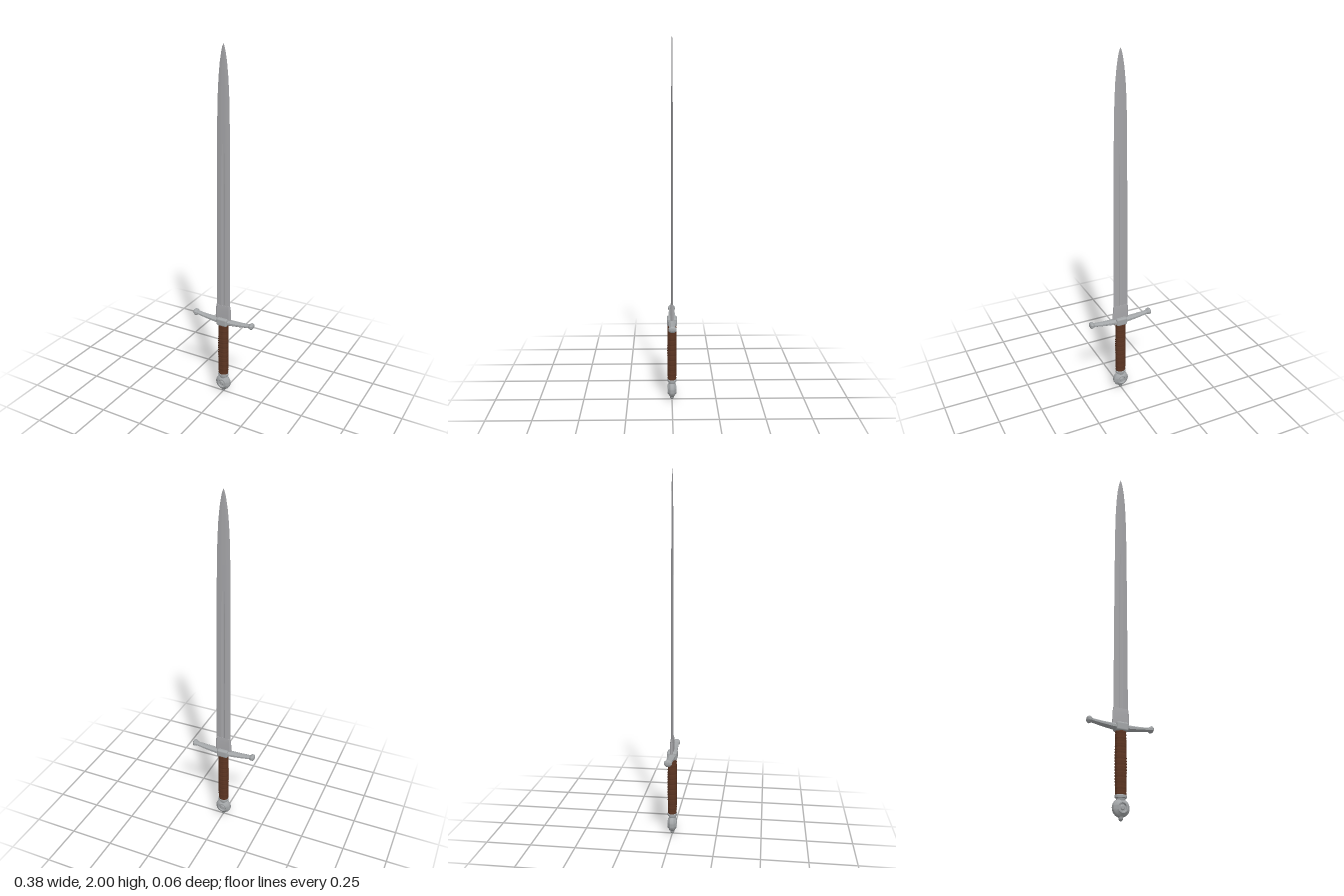
import * as THREE from 'three';
import { toCreasedNormals } from 'three/addons/utils/BufferGeometryUtils.js';
import { RoundedBoxGeometry } from 'three/addons/geometries/RoundedBoxGeometry.js';

const bladeSteel = new THREE.MeshStandardMaterial({ color: 0xa5a5a8 });
bladeSteel.name = 'blade steel';
const fittingSteel = new THREE.MeshStandardMaterial({ color: 0xa3a6a8 });
fittingSteel.name = 'fitting steel';
const leather = new THREE.MeshStandardMaterial({ color: 0x5c3522 });
leather.name = 'brown leather';

// Skin a row of closed cross-sections and cap both ends.
function loft(sections, crease) {
  const pos = [];
  const tri = (...pts) => pts.forEach((p) => pos.push(p.x, p.y, p.z));
  const n = sections[0].length;
  const middle = (s) => s.reduce((m, p) => m.add(p), new THREE.Vector3()).divideScalar(n);
  const first = sections[0], last = sections[sections.length - 1];
  const c0 = middle(first), c1 = middle(last);
  for (let i = 0; i < n; i++) {
    const j = (i + 1) % n;
    for (let s = 0; s + 1 < sections.length; s++) {
      const a = sections[s], b = sections[s + 1];
      tri(a[i], a[j], b[j]);
      tri(a[i], b[j], b[i]);
    }
    tri(c0, first[j], first[i]);
    tri(c1, last[i], last[j]);
  }
  const g = new THREE.BufferGeometry();
  g.setAttribute('position', new THREE.Float32BufferAttribute(pos, 3));
  return toCreasedNormals(g, crease);
}

function lathe(points, segments = 32, crease = 0.5) {
  const profile = points.map(([r, y]) => new THREE.Vector2(r, y));
  return toCreasedNormals(new THREE.LatheGeometry(profile, segments), crease);
}

export function createModel() {
  const sword = new THREE.Group();
  sword.name = 'sword';
  const add = (name, geometry, material, y = 0) => {
    const m = new THREE.Mesh(geometry, material);
    m.name = name;
    m.position.y = y;
    sword.add(m);
    return m;
  };

  // Blade: [height, half width, half thickness, fuller depth]
  const bladeRows = [
    [0.48, 0.043, 0.0055, 0.003], [0.8, 0.042, 0.005, 0.0028], [1.2, 0.040, 0.0047, 0.0024],
    [1.4, 0.0385, 0.0045, 0.0015], [1.5, 0.038, 0.0043, 0], [1.64, 0.036, 0.004, 0],
    [1.75, 0.033, 0.0036, 0], [1.84, 0.028, 0.0032, 0], [1.91, 0.021, 0.0028, 0],
    [1.96, 0.013, 0.0022, 0], [1.985, 0.007, 0.0015, 0], [2.0, 0.001, 0.0005, 0],
  ];
  const bladeSections = bladeRows.map(([y, w, t, d]) => {
    const half = [[1, 0], [0.55, 0.75 * t], [0.24, t], [0.12, t - d], [-0.12, t - d], [-0.24, t], [-0.55, 0.75 * t]];
    return [1, -1].flatMap((s) => half.map(([x, z]) => new THREE.Vector3(s * x * w, y, -s * z)));
  });
  add('blade', loft(bladeSections, 0.12), bladeSteel);

  // Thicker collar of steel at the root of the blade
  const rootSections = [[0.48, 0.048, 0.008], [0.545, 0.046, 0.0075], [0.568, 0.043, 0.005]].map(([y, w, t]) =>
    [[1, 0.4], [1, -0.4], [0.8, -1], [-0.8, -1], [-1, -0.4], [-1, 0.4], [-0.8, 1], [0.8, 1]]
      .map(([x, z]) => new THREE.Vector3(x * w, y, z * t)));
  add('bladeRoot', loft(rootSections, 0.3), bladeSteel);

  // Crossguard: [x, centre height, half height, half depth], mirrored
  const armRows = [
    [0.02, 0.466, 0.017, 0.022], [0.06, 0.468, 0.0145, 0.020], [0.11, 0.472, 0.012, 0.0175],
    [0.165, 0.479, 0.010, 0.0145], [0.171, 0.480, 0.015, 0.019], [0.178, 0.481, 0.0178, 0.0215],
    [0.184, 0.481, 0.0175, 0.0205], [0.189, 0.482, 0.013, 0.015], [0.192, 0.482, 0.007, 0.008],
  ];
  const guardRows = [...armRows.map(([x, ...r]) => [-x, ...r]).reverse(), ...armRows];
  const guardSections = guardRows.map(([x, y, h, d]) =>
    Array.from({ length: 8 }, (_, i) => {
      const a = ((i + 0.5) / 8) * Math.PI * 2, k = 1 / Math.cos(Math.PI / 8);
      return new THREE.Vector3(x, y + Math.cos(a) * h * k, Math.sin(a) * d * k);
    }));
  add('crossguard', loft(guardSections, 0.45), fittingSteel);
  add('guardBlock', new RoundedBoxGeometry(0.066, 0.046, 0.056, 3, 0.01), fittingSteel, 0.467);

  // Grip: swelling handle with wound leather ridges
  const gripPoints = [];
  const turns = 22, bottom = 0.122, top = 0.448;
  for (let i = 0; i <= turns * 4; i++) {
    const t = i / (turns * 4);
    const swell = 0.0275 + 0.0025 * Math.sin(Math.PI * t);
    gripPoints.push([swell + 0.0018 * Math.abs(Math.sin(Math.PI * turns * t)), bottom + (top - bottom) * t]);
  }
  add('grip', lathe(gripPoints, 24, 0.7), leather).scale.z = 0.84;

  // Collar between grip and pommel
  const collar = add('pommelCollar', lathe([
    [0, 0.096], [0.022, 0.096], [0.025, 0.108], [0.031, 0.111], [0.032, 0.117], [0.031, 0.123], [0.027, 0.126], [0, 0.126],
  ]), fittingSteel);
  collar.scale.z = 0.84;

  // Wheel pommel: a turned disc with a raised ring and boss on both faces
  const face = [[0, 0.023], [0.009, 0.022], [0.013, 0.018], [0.019, 0.018], [0.022, 0.024],
    [0.027, 0.024], [0.031, 0.019], [0.040, 0.015], [0.045, 0.008]];
  const wheel = [...face.map(([r, h]) => [r, -h]), ...[...face].reverse()];
  add('pommel', lathe(wheel, 40, 0.6), fittingSteel, 0.062).rotation.x = Math.PI / 2;

  // Peened button under the pommel
  add('pommelButton', lathe([
    [0, 0], [0.006, 0.001], [0.010, 0.006], [0.011, 0.012], [0.014, 0.022], [0, 0.024],
  ], 20, 0.8), fittingSteel);

  return sword;
}
